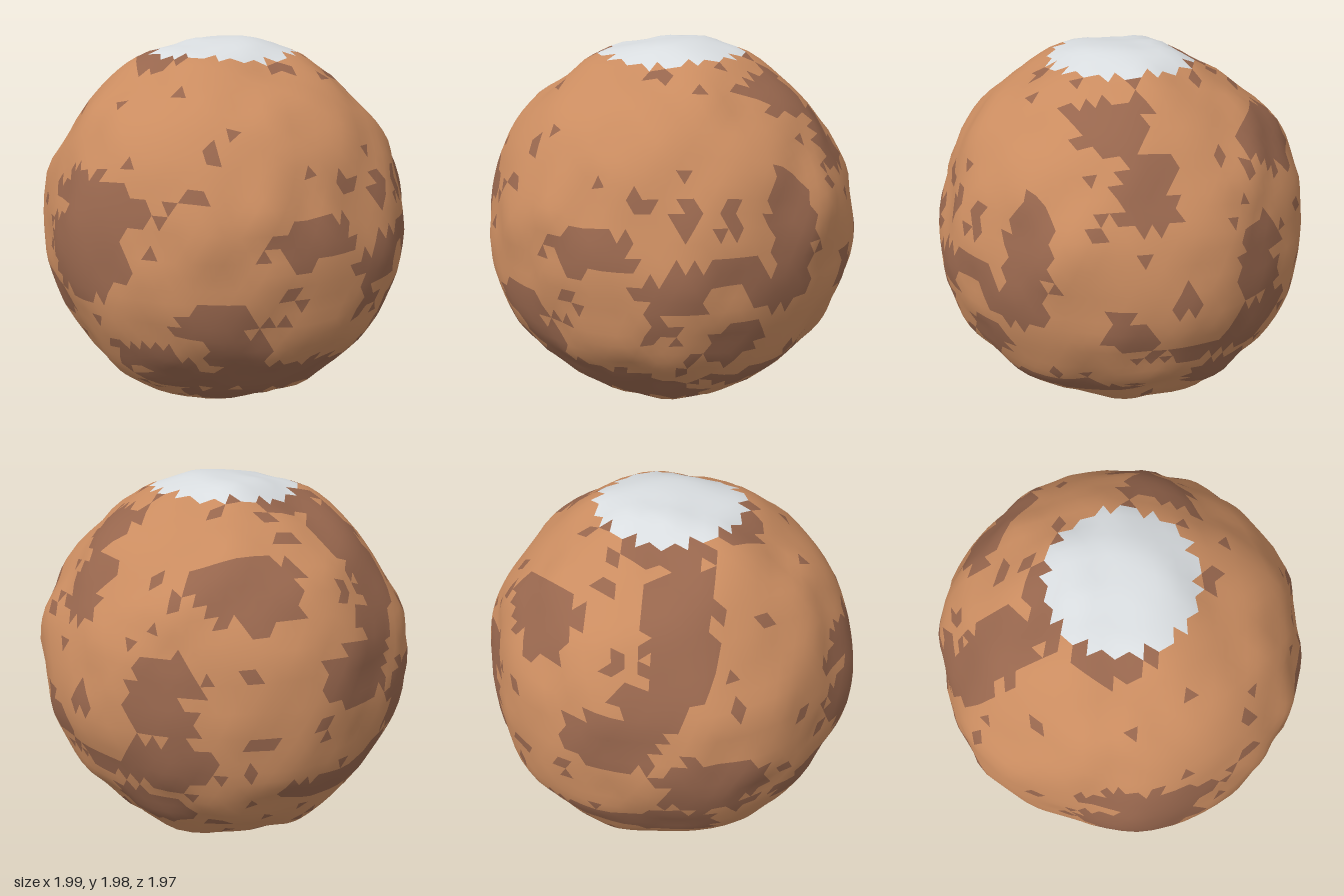
import * as THREE from 'three';
import { mergeVertices } from 'three/addons/utils/BufferGeometryUtils.js';

const mat = (name, color) => Object.assign(new THREE.MeshStandardMaterial({ color }), { name });

// Seeded lattice noise, roughly -1..1
function hash(x, y, z) {
  const s = Math.sin(x * 127.1 + y * 311.7 + z * 74.7) * 43758.5453;
  return (s - Math.floor(s)) * 2 - 1;
}
function noise(p, f) {
  const q = [p.x * f + 9.3, p.y * f + 4.1, p.z * f + 6.7];
  const i = q.map(Math.floor);
  const w = q.map((v, k) => { const t = v - i[k]; return t * t * (3 - 2 * t); });
  let sum = 0;
  for (let c = 0; c < 8; c++) {
    const d = [c & 1, (c >> 1) & 1, c >> 2];
    const weight = d.reduce((a, b, k) => a * (b ? w[k] : 1 - w[k]), 1);
    sum += weight * hash(i[0] + d[0], i[1] + d[1], i[2] + d[2]);
  }
  return sum;
}

// Dark lowlands in degrees: longitude (from +z towards +x), latitude, half width, half height
const lowlandPatches = [
  [-38, 18, 20, 7], [-42, 4, 18, 14], [29, 9, 14, 6], [52, -3, 9, 5],
  [1, -14, 14, 5], [7, -24, 9, 7], [9, -38, 32, 7], [-23, -28, 12, 6], [5, -53, 14, 7],
  [89, 14, 9, 13], [85, -3, 10, 6], [66, 3, 15, 4], [73, -20, 8, 7], [94, -37, 22, 5],
  [48, -48, 14, 5], [112, 52, 13, 8], [125, 33, 8, 11],
  [162, 6, 11, 12], [164, -15, 13, 9], [143, -18, 17, 4], [151, -33, 13, 7], [120, -9, 7, 6],
  [216, -60, 10, 8], [190, 37, 16, 11], [232, 67, 18, 6], [246, 49, 12, 11], [243, 34, 9, 11],
  [224, 9, 13, 8], [235, 22, 9, 8], [253, -6, 16, 10], [239, -26, 18, 8], [214, -24, 16, 5],
  [304, 66, 10, 5], [290, -18, 14, 6],
];

// Inside a patch with a ragged edge, or on a stray speckle
function isLowland(p) {
  const lat = THREE.MathUtils.radToDeg(Math.asin(p.y));
  const lon = THREE.MathUtils.radToDeg(Math.atan2(p.x, p.z));
  const across = Math.cos(Math.asin(p.y));
  const limit = 1.1 + .6 * noise(p, 9) + .25 * hash(p.x, p.y, p.z);
  if (noise(p, 11) > .62) return true;
  return lowlandPatches.some(([a, b, w, h]) => {
    const turn = THREE.MathUtils.euclideanModulo(lon - a + 180, 360) - 180;
    return (turn * across / w) ** 2 + ((lat - b) / h) ** 2 < limit;
  });
}

export function createModel() {
  const group = new THREE.Group();
  group.name = 'planet';

  // Icosphere with a corner at each pole
  let ball = new THREE.IcosahedronGeometry(1, 15);
  ball.deleteAttribute('uv');
  ball.deleteAttribute('normal');
  ball = mergeVertices(ball, 1e-4);
  ball.rotateX(-Math.atan((1 + Math.sqrt(5)) / 2));
  ball.rotateY(Math.PI / 2);
  const pos = ball.attributes.position, index = ball.index.array;

  // Sort the faces into caps, lowlands and highlands
  const faces = { highlands: [], lowlands: [], northCap: [], southCap: [] };
  const c = new THREE.Vector3(), p = new THREE.Vector3();
  for (let i = 0; i < index.length; i += 3) {
    c.set(0, 0, 0);
    for (let k = 0; k < 3; k++) c.add(p.fromBufferAttribute(pos, index[i + k]));
    c.normalize();
    const part = c.y > .929 ? 'northCap'
      : c.y < -.943 ? 'southCap'
      : isLowland(c) ? 'lowlands' : 'highlands';
    faces[part].push(index[i], index[i + 1], index[i + 2]);
  }

  // Gentle hills and hollows
  for (let i = 0; i < pos.count; i++) {
    p.fromBufferAttribute(pos, i).normalize();
    p.multiplyScalar(.984 + .028 * noise(p, 3.2) + .016 * noise(p, 6.5));
    pos.setXYZ(i, p.x, p.y, p.z);
  }

  // Stand it on the ground
  ball.center();
  ball.computeBoundingBox();
  ball.translate(0, -ball.boundingBox.min.y, 0);
  ball.computeVertexNormals();

  const ice = mat('ice', 0xd9dde0);
  const materials = {
    highlands: mat('orange sand', 0xca8c60), lowlands: mat('brown rock', 0x97664d), northCap: ice, southCap: ice,
  };
  for (const [name, list] of Object.entries(faces)) {
    const geo = new THREE.BufferGeometry();
    geo.setAttribute('position', pos);
    geo.setAttribute('normal', ball.attributes.normal);
    geo.setIndex(list);
    const mesh = new THREE.Mesh(geo, materials[name]);
    mesh.name = name;
    group.add(mesh);
  }
  return group;
}
